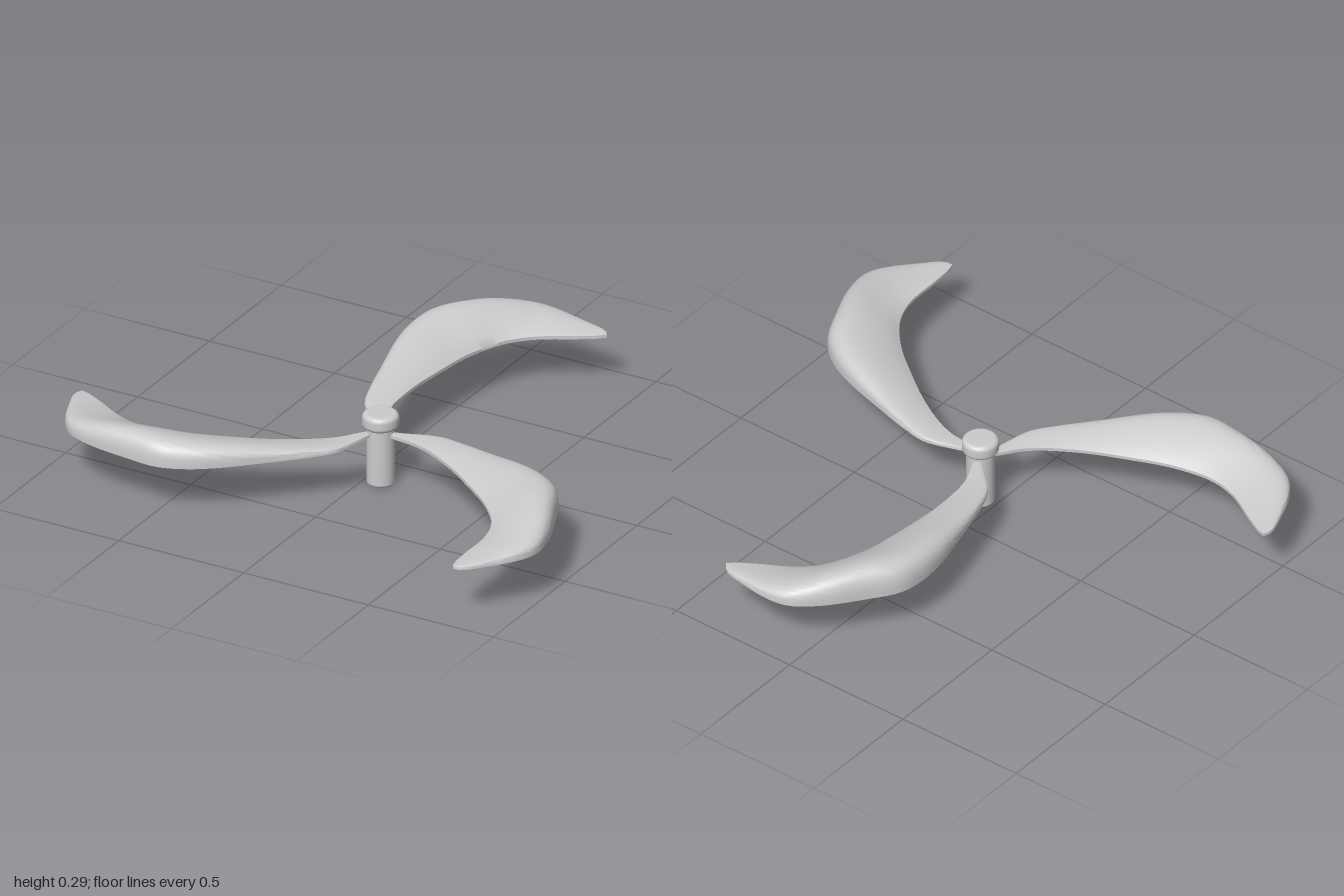
import * as THREE from 'three';
import { toCreasedNormals } from 'three/addons/utils/BufferGeometryUtils.js';

const HUB = [0.06, 0.15]; // x, z of the rotor axis
const BASE = 0.188, RIM = 0.2; // flat underside and top of the thin rim
const STATIONS = 64, CHORD = 20;

const curve = (pts) => new THREE.CatmullRomCurve3(pts.map(([x, z]) => new THREE.Vector3(x - HUB[0], 0, z - HUB[1])));

// Plan outline of one blade, root to tip: swept outer edge and hollow inner edge
const outerEdge = curve([[0.045, 0.13], [0.01, 0.095], [-0.09, 0], [-0.13, -0.1], [-0.17, -0.25], [-0.21, -0.42],
  [-0.218, -0.53], [-0.2, -0.63], [-0.13, -0.735], [-0.03, -0.86], [0.06, -0.93], [0.14, -0.945], [0.27, -0.93],
  [0.35, -0.91], [0.37, -0.885]]);
const innerEdge = curve([[0.055, 0.12], [0.043, 0.08], [0.015, 0.02], [-0.002, -0.05], [-0.008, -0.2], [0.008, -0.37],
  [0.032, -0.52], [0.085, -0.66], [0.16, -0.745], [0.29, -0.825], [0.35, -0.865], [0.37, -0.885]]);

// Crown height along the blade, as [fraction of length, height]
const crown = new THREE.SplineCurve([[0, 0], [0.12, 0.008], [0.27, 0.034], [0.42, 0.071], [0.56, 0.094], [0.65, 0.089],
  [0.72, 0.071], [0.8, 0.043], [0.9, 0.015], [1, 0]].map(([u, h]) => new THREE.Vector2(u, h))).getPoints(200);

function crownAt(u) {
  const k = Math.max(1, crown.findIndex((p) => p.x >= u));
  const a = crown[k - 1], b = crown[k];
  return Math.max(0, THREE.MathUtils.mapLinear(u, a.x, b.x, a.y, b.y));
}

// Loft of flat-bottomed aerofoil sections, fullest near the outer edge
function bladeGeometry(scale) {
  const pos = [], idx = [], ring = CHORD + 3;
  for (let j = 0; j <= STATIONS; j++) {
    const u = j / STATIONS;
    const a = outerEdge.getPointAt(u), b = innerEdge.getPointAt(u), h = crownAt(u) * scale;
    const p = new THREE.Vector3();
    pos.push(a.x, BASE, a.z);
    for (let i = 0; i <= CHORD; i++) {
      const s = i / CHORD;
      p.lerpVectors(a, b, s * s);
      pos.push(p.x, RIM + h * Math.pow(Math.max(0, Math.sin(Math.PI * s)), 0.8), p.z);
    }
    pos.push(b.x, BASE, b.z);
  }
  for (let j = 0; j < STATIONS; j++) {
    for (let i = 0; i < ring; i++) {
      const n = (i + 1) % ring, r = j * ring, q = r + ring;
      idx.push(r + i, r + n, q + n, r + i, q + n, q + i);
    }
  }
  const g = new THREE.BufferGeometry();
  g.setAttribute('position', new THREE.Float32BufferAttribute(pos, 3));
  g.setIndex(idx);
  return toCreasedNormals(g, 0.8);
}

// Solid of revolution with softly rounded top and bottom edges
function roundedPost(radius, y0, y1, bevel) {
  const pts = [new THREE.Vector2(0, y0)];
  for (const [cy, start] of [[y0 + bevel, -Math.PI / 2], [y1 - bevel, 0]]) {
    for (let k = 0; k <= 6; k++) {
      const a = start + (k / 6) * Math.PI / 2;
      pts.push(new THREE.Vector2(radius - bevel + bevel * Math.cos(a), cy + bevel * Math.sin(a)));
    }
  }
  pts.push(new THREE.Vector2(0, y1));
  return new THREE.LatheGeometry(pts, 48);
}

export function createModel() {
  const model = new THREE.Group();
  model.name = 'propeller';
  const material = new THREE.MeshStandardMaterial({ color: 0xcccccc });
  const add = (name, geometry) => {
    const mesh = new THREE.Mesh(geometry, material);
    mesh.name = name;
    mesh.position.set(HUB[0], 0, HUB[1]);
    model.add(mesh);
    return mesh;
  };

  add('shaft', roundedPost(0.05, 0, 0.225, 0.008));
  add('hubCap', roundedPost(0.065, 0.213, 0.27, 0.018));

  // Three blades, slightly different in crown
  [1, 0.8, 0.84].forEach((scale, i) => {
    add(`blade${i + 1}`, bladeGeometry(scale)).rotation.y = -i * Math.PI * 2 / 3;
  });
  return model;
}
